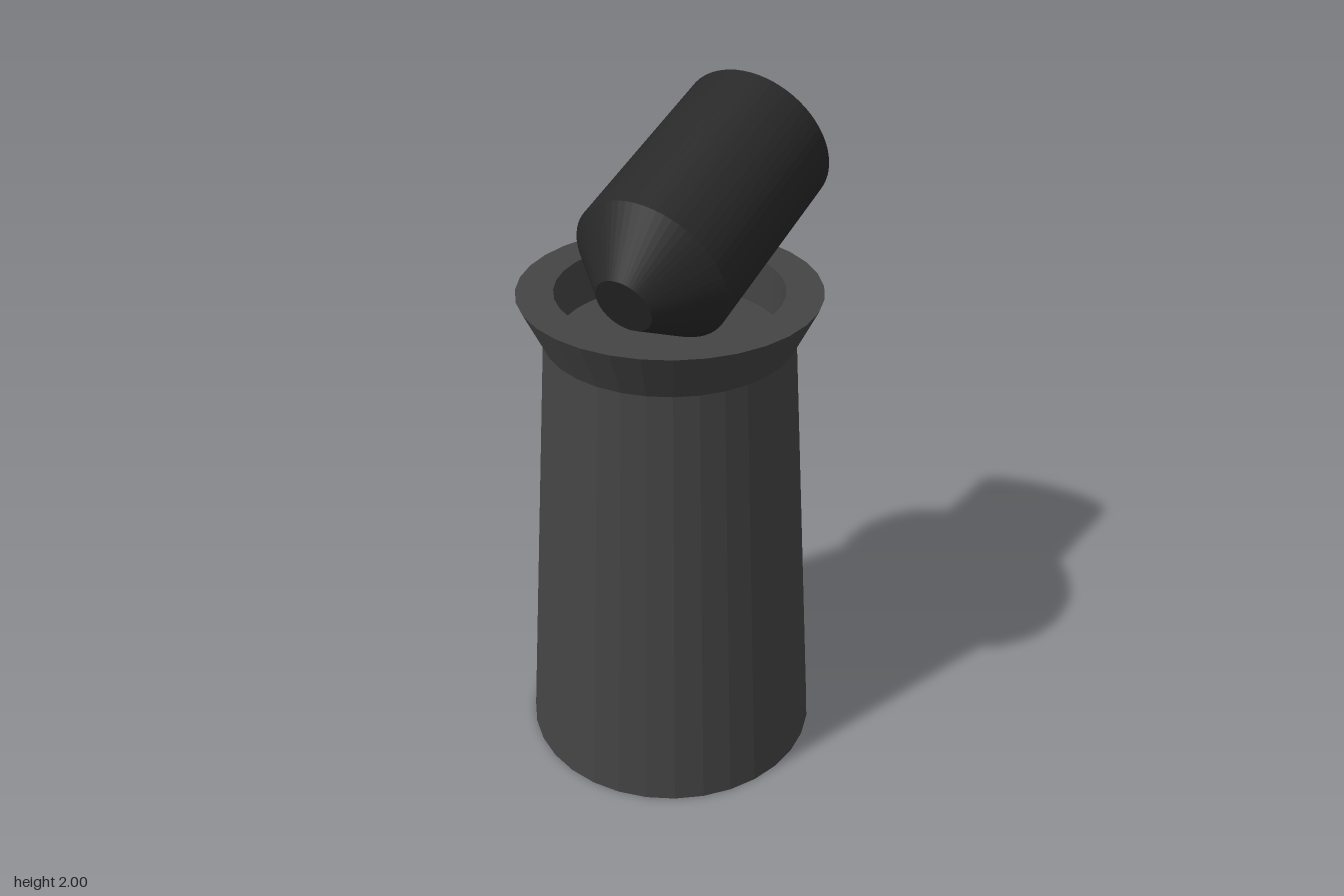
import * as THREE from 'three';

// Solid of revolution from [radius, height] pairs, listed so faces point outward
function turned(name, profile, segments, color) {
  const points = profile.map(([r, y]) => new THREE.Vector2(r, y));
  const material = new THREE.MeshStandardMaterial({ color, flatShading: true });
  const mesh = new THREE.Mesh(new THREE.LatheGeometry(points, segments), material);
  mesh.name = name;
  return mesh;
}

export function createModel() {
  const group = new THREE.Group();
  group.name = 'mortarTower';

  const tower = new THREE.Group();
  tower.name = 'tower';
  tower.position.z = 0.052;
  group.add(tower);

  // Tapered column, its flat top forming the floor inside the rim
  tower.add(turned('column', [[0, 0], [0.445, 0], [0.357, 1.345], [0, 1.345]], 32, 0x444444));

  // Flared rim around the top
  tower.add(turned('rim', [[0.357, 1.345], [0.427, 1.49], [0.322, 1.49], [0.322, 1.345]], 32, 0x444444));

  // Tilted barrel: open bore at the raised back end, tapered nose at the front
  const length = 0.59;
  const barrel = turned('barrel', [
    [0, length], [0.144, length], [0.144, 0], [0.237, 0],
    [0.237, length], [0.087, 0.734], [0, 0.734],
  ], 64, 0x282828);
  barrel.position.set(0, 1.778, -0.41);
  barrel.rotation.x = THREE.MathUtils.degToRad(110);
  group.add(barrel);

  return group;
}
